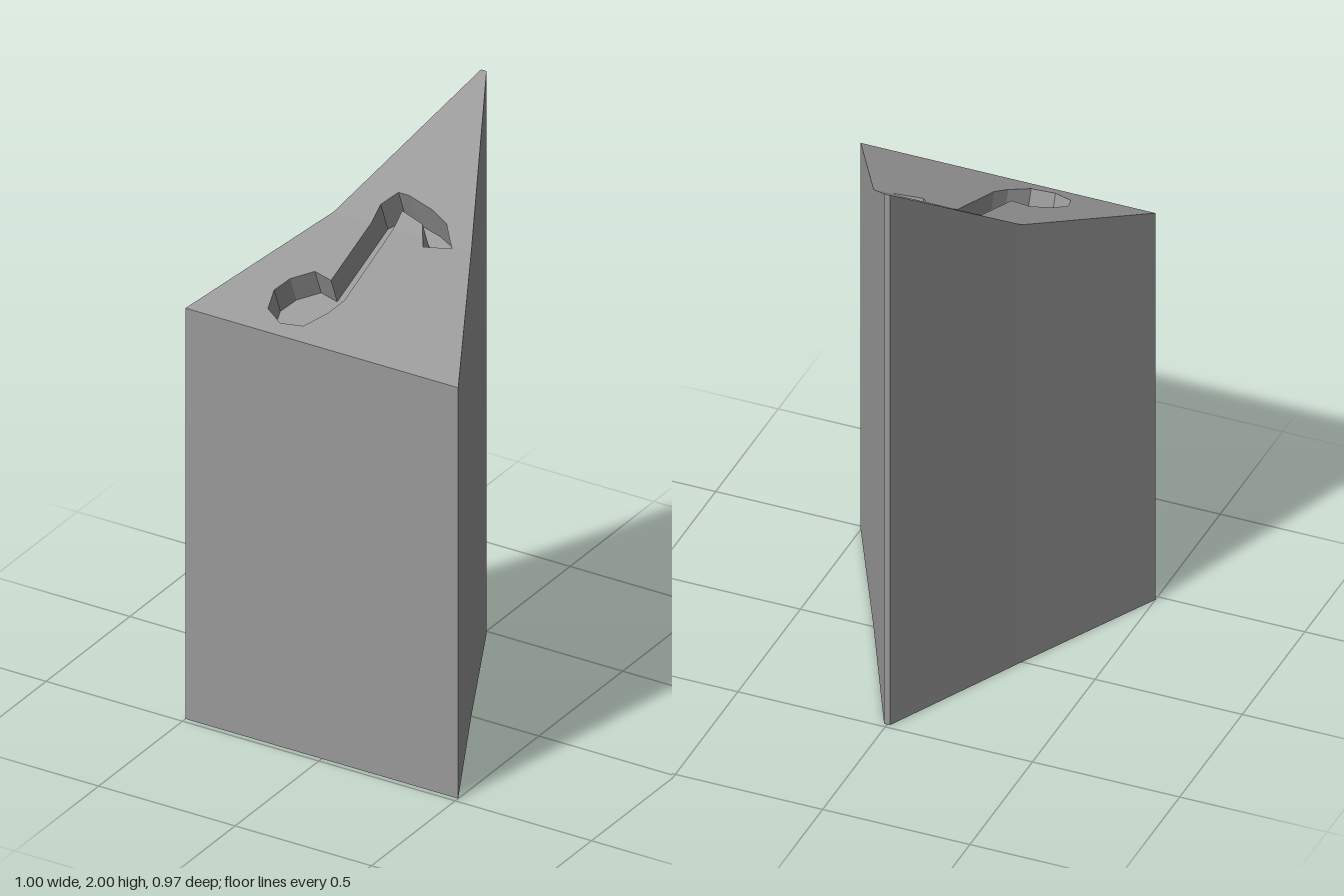
import * as THREE from 'three';

const DEPTH = 0.1;
const SLOPE = 0.19 / 0.48;
const NY = 1 / Math.hypot(1, SLOPE), NZ = SLOPE * NY; // normal of the front slope

// Height of the creased top: gentle in front, steep behind
const frontPlane = z => 1.65 - SLOPE * z;
const topHeight = z => (z >= 0 ? frontPlane(z) : 1.65 - z * 0.35 / 0.485);
const floorHeight = z => frontPlane(z) - DEPTH / NY;

// Point on the groove floor straight below a rim point, along the front slope's normal
function toFloor([x, z]) {
  const t = DEPTH + (topHeight(z) - frontPlane(z)) * NY;
  return [x, z - t * NZ];
}

// Flat outline in x, z lifted onto a height rule
function sheet(points, height) {
  const shape = new THREE.Shape(points.map(([x, z]) => new THREE.Vector2(x, -z)));
  const geo = new THREE.ShapeGeometry(shape).rotateX(-Math.PI / 2);
  const pos = geo.attributes.position;
  for (let i = 0; i < pos.count; i++) pos.setY(i, height(pos.getZ(i)));
  const flat = geo.toNonIndexed();
  flat.computeVertexNormals();
  return flat;
}

// Closed band of quads between a lower and an upper loop
function band(lower, lowHeight, upper, highHeight) {
  const out = [];
  const n = lower.length;
  for (let i = 0; i < n; i++) {
    const j = (i + 1) % n;
    const a = [lower[i][0], lowHeight(lower[i][1]), lower[i][1]];
    const b = [lower[j][0], lowHeight(lower[j][1]), lower[j][1]];
    const c = [upper[j][0], highHeight(upper[j][1]), upper[j][1]];
    const d = [upper[i][0], highHeight(upper[i][1]), upper[i][1]];
    out.push(...a, ...b, ...c, ...a, ...c, ...d);
  }
  const geo = new THREE.BufferGeometry();
  geo.setAttribute('position', new THREE.Float32BufferAttribute(out, 3));
  geo.computeVertexNormals();
  return geo;
}

export function createModel() {
  const grey = new THREE.MeshStandardMaterial({ color: 0x999999 });
  grey.name = 'grey';
  const model = new THREE.Group();
  model.name = 'prism';
  const add = (name, geo) => {
    const mesh = new THREE.Mesh(geo, grey);
    mesh.name = name;
    model.add(mesh);
  };

  // Triangular plan with a narrow blunt back edge
  const plan = [[-0.5, 0.482], [0.5, 0.482], [0.252, 0], [0.01, -0.485], [-0.01, -0.485], [-0.252, 0]];

  // Hook-shaped groove rim, split where it crosses the crease at z = 0
  const hookTip = [[0.178, 0], [0.187, 0.008], [0.095, 0.032], [0.074, 0]];
  const hookInside = [[0.052, -0.035], [-0.035, -0.055]];
  const stemAndFoot = [
    [-0.034, 0], [-0.032, 0.295], [-0.055, 0.355], [-0.103, 0.425], [-0.18, 0.438], [-0.248, 0.4],
    [-0.268, 0.33], [-0.243, 0.275], [-0.183, 0.225], [-0.115, 0.24], [-0.114, 0],
  ];
  const hookOutside = [[-0.114, -0.055], [-0.076, -0.1], [-0.037, -0.1], [0.06, -0.08], [0.127, -0.055]];
  const rim = [...hookTip, ...hookInside, ...stemAndFoot, ...hookOutside];
  const floor = rim.map(toFloor);
  const ground = () => 0;

  // Outer walls and base
  add('sideWalls', band(plan, ground, plan, topHeight));
  const base = new THREE.ShapeGeometry(new THREE.Shape(plan.map(([x, z]) => new THREE.Vector2(x, z))));
  add('base', base.rotateX(Math.PI / 2));

  // Sloped top around the groove
  add('frontSlope', sheet([plan[0], plan[1], plan[2], ...hookTip, ...stemAndFoot, plan[5]], topHeight));
  add('backSlope', sheet([plan[5], stemAndFoot.at(-1), ...hookOutside, hookTip[0], plan[2], plan[3], plan[4]], topHeight));
  add('slopeInsideHook', sheet([hookTip.at(-1), ...hookInside, stemAndFoot[0]], topHeight));

  // Sunken groove
  add('grooveWalls', band(floor, floorHeight, rim, topHeight));
  add('grooveFloor', sheet(floor, floorHeight));
  return model;
}
